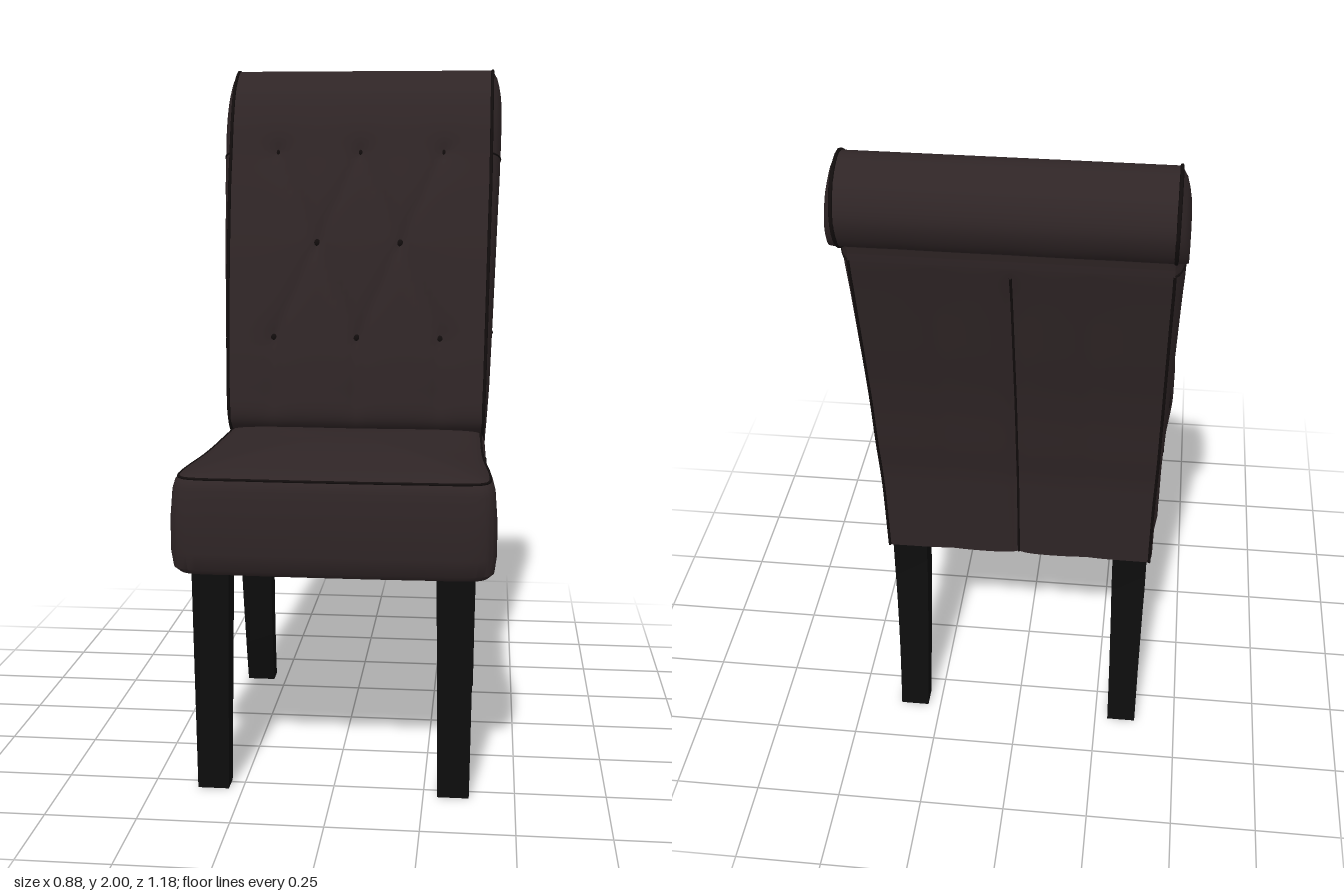
import * as THREE from 'three';
import { toCreasedNormals } from 'three/addons/utils/BufferGeometryUtils.js';

const V = (x, y, z) => new THREE.Vector3(x, y, z);
const mat = (name, color) => {
  const m = new THREE.MeshStandardMaterial({ color });
  m.name = name;
  return m;
};

// Skin a stack of closed rings (counter-clockwise about the stacking direction), capped at both ends.
function loft(rings, crease = 0.7) {
  const n = rings[0].length, pos = [], idx = [];
  rings.forEach(r => r.forEach(p => pos.push(p.x, p.y, p.z)));
  for (let i = 0; i < rings.length - 1; i++)
    for (let j = 0; j < n; j++) {
      const a = i * n + j, b = i * n + (j + 1) % n;
      idx.push(a, b, b + n, a, b + n, a + n);
    }
  [0, rings.length - 1].forEach((r, end) => {
    const c = rings[r].reduce((s, p) => s.add(p), V(0, 0, 0)).divideScalar(n);
    const centre = pos.length / 3;
    pos.push(c.x, c.y, c.z);
    for (let j = 0; j < n; j++) {
      const a = r * n + j, b = r * n + (j + 1) % n;
      idx.push(centre, end ? a : b, end ? b : a);
    }
  });
  const g = new THREE.BufferGeometry();
  g.setAttribute('position', new THREE.Float32BufferAttribute(pos, 3));
  g.setIndex(idx);
  return toCreasedNormals(g, crease);
}

const curveOf = (pts, closed = false) => new THREE.CatmullRomCurve3(pts, closed, 'centripetal');
const tube = (pts, r, closed = false) => new THREE.TubeGeometry(curveOf(pts, closed), pts.length * 3, r, 6, closed);

// Backrest side outline as matching front and rear points, [z, y]; the scroll fans around its rear hinge.
const frontLine = curveOf([[-.19, .625], [-.185, .84], [-.125, .92], [-.125, 1.02], [-.15, 1.2], [-.19, 1.4],
  [-.24, 1.6], [-.285, 1.74], [-.32, 1.85], [-.375, 1.945], [-.47, 2], [-.555, 1.965], [-.59, 1.88],
  [-.555, 1.795], [-.49, 1.76]].map(([z, y]) => V(0, y, z)));
const rearLine = curveOf([[-.305, .625], [-.315, .84], [-.32, .92], [-.335, 1.02], [-.36, 1.2], [-.4, 1.4],
  [-.44, 1.6], [-.46, 1.7], [-.462, 1.72], [-.464, 1.73], [-.466, 1.74], [-.468, 1.745], [-.47, 1.75],
  [-.472, 1.752], [-.474, 1.754]].map(([z, y]) => V(0, y, z)));

// Tufting: button positions and the folds that join them, [x, y].
const buttons = [[-.26, 1.745], [0, 1.745], [.26, 1.745], [-.13, 1.46], [.13, 1.46], [-.26, 1.17], [0, 1.17], [.26, 1.17]];
const folds = [];
for (const x of [-.13, .13])
  for (const dx of [-.13, .13])
    for (const y of [1.17, 1.745]) folds.push([x, 1.46, x + dx, y]);
for (const x of [-.26, 0, .26]) folds.push([x, 1.17, x, .9]);

function tuft(x, y) {
  if (y > 1.95) return 0;
  let d = 9, b = 9;
  for (const [x0, y0, x1, y1] of folds) {
    const ux = x1 - x0, uy = y1 - y0;
    const k = THREE.MathUtils.clamp(((x - x0) * ux + (y - y0) * uy) / (ux * ux + uy * uy), 0, 1);
    d = Math.min(d, Math.hypot(x - x0 - k * ux, y - y0 - k * uy));
  }
  for (const [bx, by] of buttons) b = Math.min(b, Math.hypot(x - bx, y - by));
  return (-.012 * Math.exp(-d / .03) - .008 * Math.exp(-b / .025)) * THREE.MathUtils.smoothstep(y, .85, 1);
}

const halfWidth = t => .39 + .018 * Math.min(1, t * 2.2);
const bulge = t => .008 + .022 * THREE.MathUtils.smoothstep(t, 0, .6);

// Point on the padded front or rear face of the backrest.
function backPoint(t, x, rear = false) {
  const f = frontLine.getPoint(t), r = rearLine.getPoint(t);
  const out = f.clone().sub(r).normalize();
  const p = rear ? r : f;
  let push = tuft(x, p.y);
  if (rear) {
    const fade = 1 - THREE.MathUtils.smoothstep(t, .4, .5);
    push = fade * (.012 * Math.exp(-Math.abs(x) / .025) + .005 * Math.exp(-Math.abs(Math.abs(x) - .2) / .04));
  }
  p.addScaledVector(out, push);
  p.x = x;
  return p;
}

function sidePoint(t, d, side) {
  const p = frontLine.getPoint(t).lerp(rearLine.getPoint(t), d);
  p.x = side * (halfWidth(t) + bulge(t) * Math.pow(Math.sin(Math.PI * d), .6));
  return p;
}

function backrestGeometry() {
  const rings = [], NX = 50, NS = 10, NT = 98;
  for (let i = 0; i <= NT; i++) {
    const t = i / NT, w = halfWidth(t), ring = [];
    for (let j = 0; j <= NX; j++) ring.push(backPoint(t, w * (2 * j / NX - 1)));
    for (let j = 1; j < NS; j++) ring.push(sidePoint(t, j / NS, 1));
    for (let j = 0; j <= NX; j++) ring.push(backPoint(t, w * (1 - 2 * j / NX), true));
    for (let j = NS - 1; j > 0; j--) ring.push(sidePoint(t, j / NS, -1));
    rings.push(ring);
  }
  return loft(rings);
}

// Seat outline seen from above, tapering toward the back.
const half = [[.25, .584], [.41, .575], [.435, .55], [.44, .48], [.42, .25], [.413, .1], [.408, -.1], [.403, -.175], [.385, -.19]];
const outline = curveOf([[0, .587], ...half, [0, -.19], ...half.slice().reverse().map(([x, z]) => [-x, z])]
  .map(([x, z]) => V(x, 0, z)), true).getPoints(120).slice(0, -1);
const seatRing = (inset, y) => outline.map(p => V(p.x * (1 - inset / .44), y, .2 + (p.z - .2) * (1 - inset / .39)));

function seatGeometry() {
  const rings = [[.075, .645], [.07, .62], [.02, .62], [.006, .635], [0, .68], [0, .77], [.006, .85], [.013, .875], [.024, .885]]
    .map(([inset, y]) => seatRing(inset, y));
  for (let i = 1; i < 12; i++) {
    const k = 1 - i / 12;
    rings.push(seatRing(.39 - .366 * k, .885 + .047 * (1 - k * k)));
  }
  return loft(rings);
}

// Square leg from stations [y, x centre, z centre, x width, z depth], bottom to top.
const legGeometry = stations => loft(stations.map(([y, x, z, w, d]) =>
  [[-1, 1], [1, 1], [1, -1], [-1, -1]].map(([sx, sz]) => V(x + sx * w / 2, y, z + sz * d / 2))), .5);

export function createModel() {
  const group = new THREE.Group();
  group.name = 'diningChair';
  const fabric = mat('brownUpholstery', 0x2f2526);
  const seam = mat('darkSeam', 0x120d0d);
  const wood = mat('blackWood', 0x0d0d0d);
  const lining = mat('oliveLining', 0x352c1c);
  const add = (name, geometry, material) => {
    const m = new THREE.Mesh(geometry, material);
    m.name = name;
    group.add(m);
    return m;
  };

  add('backrest', backrestGeometry(), fabric);
  add('seat', seatGeometry(), fabric);
  add('seatPiping', tube(seatRing(.02, .882).filter((p, i) => i % 2 === 0), .004, true), seam);

  // Underside cloth
  add('undersideLining', new THREE.BoxGeometry(.7, .008, .62), lining).position.set(0, .641, .2);

  // Tufting buttons
  for (const [x, y] of buttons) {
    let t = 0;
    while (frontLine.getPoint(t).y < y) t += .002;
    const b = add('tuftButton', new THREE.SphereGeometry(.011, 12, 8), seam);
    b.position.copy(backPoint(t, x));
    b.scale.z = .5;
  }

  // Seams on the rear face and both sides
  const steps = Array.from({ length: 25 }, (_, i) => i / 24);
  add('rearSeam', tube(steps.map(k => backPoint(k * .47, 0, true)), .004), seam);
  for (const s of [-1, 1]) {
    add('frontPiping', tube(steps.map(k => backPoint(k, s * halfWidth(k))), .005), seam);
    add('rearPiping', tube(steps.map(k => backPoint(k * .5, s * halfWidth(k * .5), true)), .004), seam);
    add('scrollSeam', tube(steps.map(k => sidePoint(.5, k, s)), .003), seam);
    add('sideSeam', tube(steps.map(k => sidePoint(.28, .35 + k * .35, s)), .003), seam);
    add('seatSideSeam', tube([V(s * .405, .875, .18), V(s * .415, .77, .18), V(s * .415, .67, .18)], .003), seam);

    // Straight front legs and swept rear legs
    add('frontLeg', legGeometry([[0, s * .332, .514, .086, .06], [.64, s * .332, .5, .102, .088]]), wood);
    add('rearLeg', legGeometry([[0, s * .332, -.333, .086, .058], [.1, s * .332, -.311, .088, .062], [.2, s * .332, -.292, .09, .066],
      [.3, s * .332, -.276, .093, .07], [.4, s * .332, -.263, .096, .074], [.5, s * .332, -.254, .1, .077], [.64, s * .332, -.249, .102, .08]]), wood);
  }
  return group;
}
